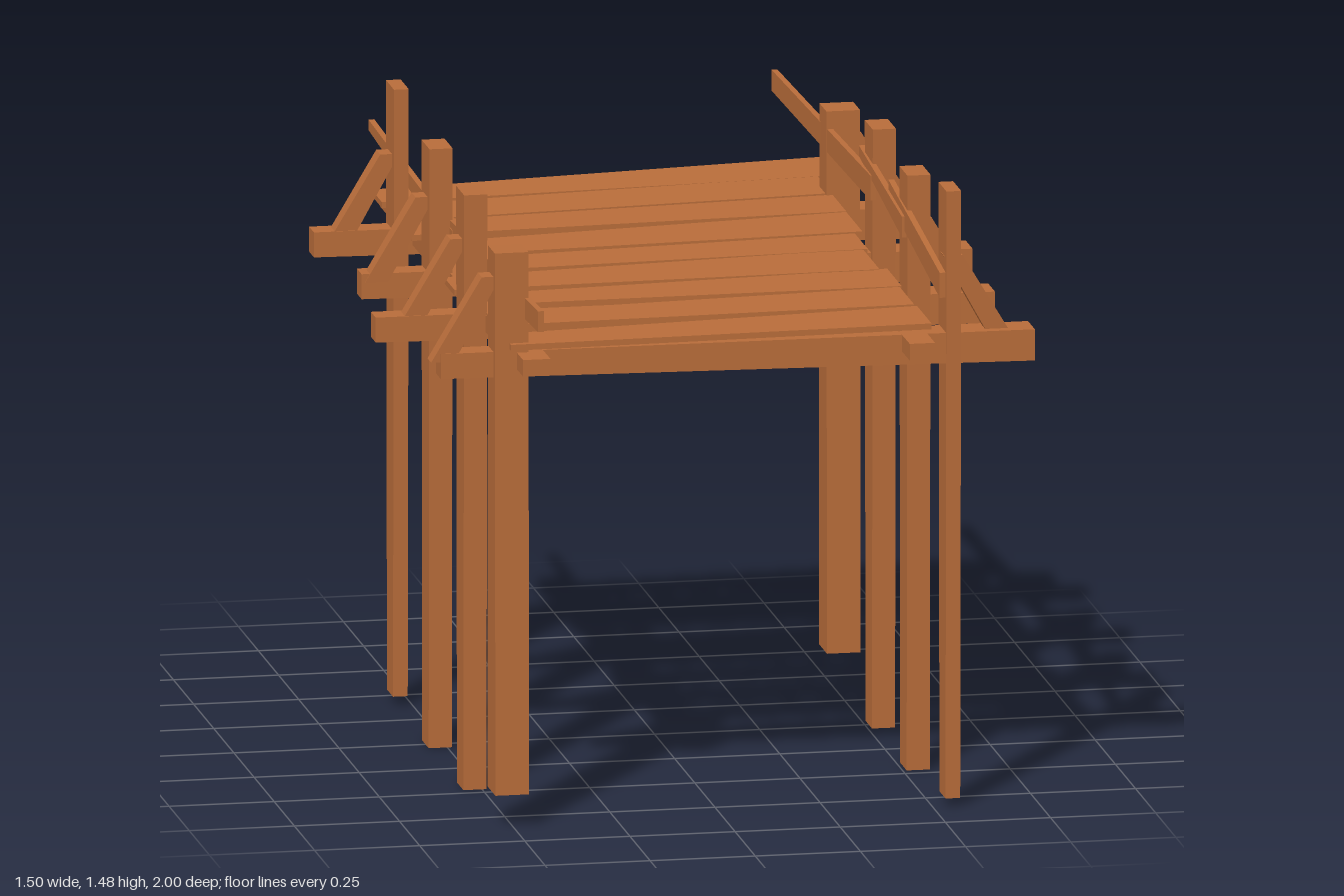
import * as THREE from 'three';

const wood = new THREE.MeshStandardMaterial({ color: 0xb96d3a });
wood.name = 'weathered wood';

// Hewn timber from a to b along one axis (0 = x, 1 = y, 2 = z).
// Each end has its own section size, given along the two following axes in turn.
function timber(name, axis, a, b, sizeA, sizeB = sizeA) {
  const geo = new THREE.BoxGeometry(1, 1, 1);
  const pos = geo.attributes.position;
  const u = (axis + 1) % 3, v = (axis + 2) % 3;
  for (let i = 0; i < pos.count; i++) {
    const t = pos.getZ(i) > 0;
    const p = [...(t ? b : a)], size = t ? sizeB : sizeA;
    p[u] += pos.getX(i) * size[0];
    p[v] += pos.getY(i) * size[1];
    pos.setXYZ(i, ...p);
  }
  geo.computeVertexNormals();
  const mesh = new THREE.Mesh(geo, wood);
  mesh.name = name;
  return mesh;
}

export function createModel() {
  const pier = new THREE.Group();
  pier.name = 'pier';
  const add = (...args) => pier.add(timber(...args));

  // Posts: x, z, foot y, top y, foot section [z, x], top section [z, x]
  const posts = [
    [-0.505, 0.82, 0.09, 1.39, [0.10, 0.08], [0.085, 0.08]],
    [-0.517, 0.43, 0.01, 1.44, [0.08, 0.055], [0.10, 0.055]],
    [-0.517, 0.00, 0.01, 1.45, [0.08, 0.055], [0.10, 0.055]],
    [-0.527, -0.44, 0.03, 1.49, [0.075, 0.035], [0.10, 0.035]],
    [0.547, 0.81, 0.03, 1.49, [0.075, 0.035], [0.10, 0.035]],
    [0.537, 0.43, 0.01, 1.44, [0.08, 0.055], [0.10, 0.055]],
    [0.537, 0.00, 0.01, 1.45, [0.08, 0.055], [0.10, 0.055]],
    [0.525, -0.44, 0.09, 1.39, [0.10, 0.08], [0.085, 0.08]],
  ];
  for (const [x, z, y0, y1, foot, top] of posts) {
    add('post', 1, [x, y0, z], [x, y1, z], foot, top);
    // Diagonal brace from the post down to the beam end
    const s = Math.sign(x);
    add('brace', 1, [s * 0.665, 1.13, z], [s * 0.55, 1.33, z], [0.045, 0.055], [0.05, 0.045]);
  }

  // Cross beams: z, left end, right end
  for (const [z, x0, x1] of [[0.815, -0.67, 0.74], [0.425, -0.75, 0.72], [-0.01, -0.70, 0.75], [-0.445, -0.73, 0.73]]) {
    add('crossBeam', 0, [x0, 1.12, z], [x1, 1.112, z], [0.06, 0.06], [0.075, 0.085]);
  }

  // Long stringers under the deck
  add('stringer', 2, [-0.465, 1.13, -0.81], [-0.46, 1.13, 0.94], [0.065, 0.04]);
  add('stringer', 2, [0.445, 1.13, -0.81], [0.455, 1.13, 0.95], [0.07, 0.04], [0.06, 0.04]);

  // Deck planks: x0, back and front z there, x1, back and front z there
  const planks = [
    [-0.535, -0.72, -0.59, 0.56, -0.77, -0.58],
    [-0.53, -0.56, -0.40, 0.50, -0.59, -0.41],
    [-0.53, -0.385, -0.25, 0.50, -0.40, -0.23],
    [-0.51, -0.17, -0.035, 0.50, -0.23, -0.03],
    [-0.46, 0.00, 0.13, 0.48, -0.02, 0.14],
    [-0.535, 0.18, 0.31, 0.47, 0.13, 0.34],
    [-0.47, 0.36, 0.47, 0.49, 0.33, 0.51],
    [-0.505, 0.55, 0.68, 0.485, 0.51, 0.69],
    [-0.51, 0.765, 0.88, 0.49, 0.70, 0.88],
  ];
  planks.forEach(([x0, b0, f0, x1, b1, f1], i) => {
    const y = 1.185 - i * 0.0015;
    add('plank', 0, [x0, 1.166, (b0 + f0) / 2], [x1, y, (b1 + f1) / 2], [0.014, f0 - b0], [0.014, f1 - b1]);
  });

  // Rail boards, with the broken run on the left side
  const rails = [
    [[-0.495, 1.278, -0.93], [-0.49, 1.235, 0.08], 0.025, 0.05],
    [[-0.49, 1.25, 0.0], [-0.462, 1.255, 1.0], 0.055, 0.05],
    [[0.477, 1.325, -1.0], [0.507, 1.315, 0.07], 0.05, 0.06],
    [[0.512, 1.365, -0.10], [0.505, 1.315, 0.47], 0.025, 0.05],
    [[0.515, 1.352, 0.25], [0.505, 1.285, 0.94], 0.05, 0.06],
  ];
  for (const [a, b, ha, hb] of rails) add('rail', 2, a, b, [0.014, ha], [0.014, hb]);

  return pier;
}
